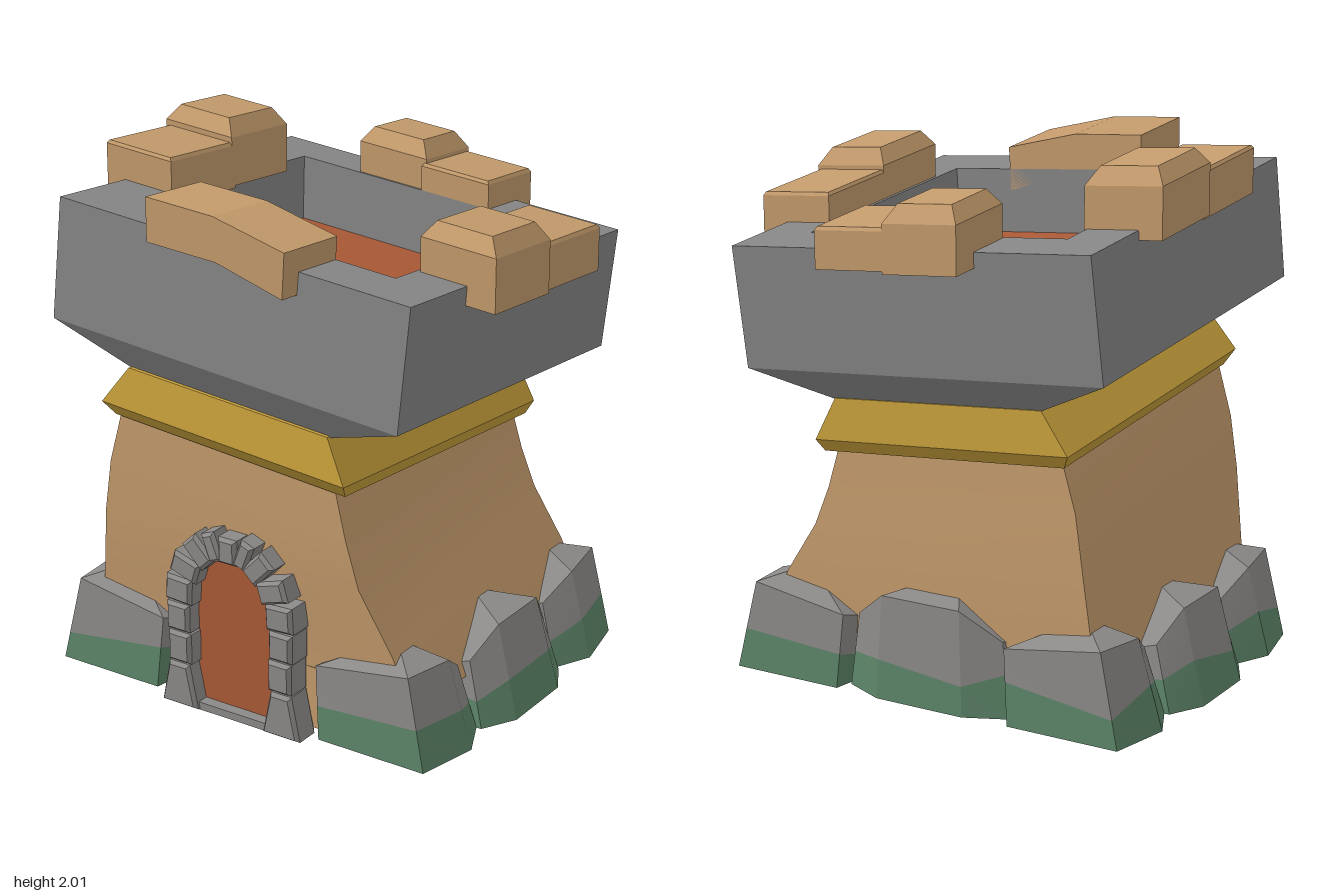
import * as THREE from 'three';
import { toCreasedNormals } from 'three/addons/utils/BufferGeometryUtils.js';

const mat = (name, color) => {
  const m = new THREE.MeshStandardMaterial({ color, side: THREE.DoubleSide });
  m.name = name;
  return m;
};

// Skin between rings of [x, y, z] points, ordered from bottom to top
function loft(rings, closed = true, crease = 0.35) {
  const pos = [];
  const tri = (a, b, c) => {
    const [A, B, C] = [a, b, c].map((p) => new THREE.Vector3(...p));
    if (B.sub(A).cross(C.sub(A)).length() > 1e-7) pos.push(...a, ...b, ...c);
  };
  const n = rings[0].length;
  for (let i = 0; i < rings.length - 1; i++) {
    for (let j = 0; j < (closed ? n : n - 1); j++) {
      const k = (j + 1) % n;
      const a = rings[i][j], b = rings[i][k], c = rings[i + 1][k], d = rings[i + 1][j];
      tri(a, b, c);
      tri(a, c, d);
    }
  }
  const g = new THREE.BufferGeometry();
  g.setAttribute('position', new THREE.Float32BufferAttribute(pos, 3));
  g.computeVertexNormals();
  return toCreasedNormals(g, crease);
}

// The upper tower leans: heights drop toward +x and -z
const lean = (x, z) => -0.085 * x + 0.079 * z;
const rect = (x0, x1, z0, z1, h, tilt = 1) =>
  [[x0, z1], [x1, z1], [x1, z0], [x0, z0]].map(([x, z]) => [x, h + tilt * lean(x, z), z]);
const cap = (ring) => {
  const c = [0, 1, 2].map((k) => ring.reduce((s, p) => s + p[k], 0) / ring.length);
  return ring.map(() => c);
};

export function createModel() {
  const root = new THREE.Group();
  root.name = 'tower';
  const tan = mat('sandstone', 0xc49b6c);
  const grey = mat('wall grey', 0x868686);
  const rockGrey = mat('rock grey', 0x8c8a88);
  const gold = mat('gold', 0xc8a03c);
  const clay = mat('clay', 0xaa5a36);
  const moss = mat('moss', 0x5c8468);
  const add = (name, geo, m, parent = root) => {
    const mesh = new THREE.Mesh(geo, m);
    mesh.name = name;
    parent.add(mesh);
    return mesh;
  };

  // Flared body, open below, and the wall foot around the door
  add('body', loft([
    rect(-0.67, 0.72, -0.58, 0.6, 0.2, 0),
    rect(-0.64, 0.63, -0.58, 0.61, 0.4, 0),
    rect(-0.6, 0.51, -0.57, 0.64, 0.63, 0.4),
    rect(-0.57, 0.455, -0.56, 0.64, 0.8, 0.7),
    rect(-0.5, 0.4, -0.55, 0.64, 1.02, 1),
  ], true, 0.6), tan);
  add('wallFoot', new THREE.BoxGeometry(0.74, 0.24, 0.03), tan).position.set(0, 0.14, 0.59);

  // Gold collar
  add('collar', loft([
    rect(-0.49, 0.4, -0.54, 0.62, 0.97),
    rect(-0.53, 0.46, -0.57, 0.65, 0.965),
    rect(-0.56, 0.48, -0.6, 0.69, 1.015),
    rect(-0.45, 0.4, -0.59, 0.67, 1.17),
    rect(-0.4, 0.36, -0.55, 0.62, 1.18),
  ]), gold);

  // Overhanging head with a hollow top and clay floor
  add('head', loft([
    rect(-0.43, 0.39, -0.58, 0.65, 1.16),
    rect(-0.735, 0.72, -0.67, 0.73, 1.29),
    rect(-0.7, 0.755, -0.7, 0.71, 1.745),
    rect(-0.5, 0.555, -0.5, 0.49, 1.745),
    rect(-0.5, 0.54, -0.49, 0.49, 1.5),
  ]), grey);
  const floor = rect(-0.5, 0.545, -0.495, 0.495, 1.5);
  add('roofFloor', loft([floor, cap(floor)]), clay);

  // Battlements: a plain low block beside a taller bevelled one
  const block = (name, x0, x1, z0, z1, h0, h1, b) => {
    const bottom = rect(x0, x1, z0, z1, h0);
    const top = rect(x0 + b, x1 - b, z0 + b, z1 - b, h1);
    add(name, loft([cap(bottom), bottom, rect(x0, x1, z0, z1, h1 - b * 1.5), top, cap(top)]), tan);
  };
  block('rightMerlonLow', -0.78, -0.49, -0.04, 0.345, 1.7, 1.875, 0.008);
  block('rightMerlonTall', -0.79, -0.49, -0.37, -0.02, 1.71, 1.955, 0.04);
  block('leftMerlonLow', 0.57, 0.86, -0.36, 0.02, 1.685, 1.855, 0.008);
  block('leftMerlonTall', 0.57, 0.865, 0, 0.36, 1.675, 1.93, 0.04);
  block('backMerlonTall', -0.25, 0.045, -0.81, -0.51, 1.69, 1.925, 0.04);
  block('backMerlonLow', 0.03, 0.32, -0.81, -0.5, 1.7, 1.85, 0.008);
  const bent = new THREE.Shape([
    [-0.25, 1.8], [0.04, 1.78], [0.31, 1.7], [0.32, 1.865], [0.03, 1.94], [-0.25, 1.96],
  ].map((p) => new THREE.Vector2(...p)));
  const frontMerlon = new THREE.ExtrudeGeometry(bent, { depth: 0.31, bevelEnabled: false });
  const fp = frontMerlon.attributes.position;
  for (let i = 0; i < fp.count; i++) fp.setY(i, fp.getY(i) + (fp.getZ(i) - 0.31) * 0.079);
  add('frontMerlon', frontMerlon, tan).position.z = 0.49;

  // Rocks: outer shells [x, z, shoulder height] narrowing to a peak, mossy at the foot
  const rock = (name, outline, [cx, cz, peak], sx, map) => {
    const at = (x, y, z) => { const [X, Z] = map(x, z); return [X, y, Z]; };
    const foot = outline.map(([x, z]) => at(x, 0.02, z));
    const shoulder = outline.map(([x, z, h]) =>
      at(cx + (x - cx) * (x < cx ? 1.1 : sx), h, cz + (z - cz) * 0.9));
    const line = foot.map((p, i) => {
      const y = 0.15 + 0.035 * Math.sin(i * 2.1 + p[0] * 3);
      const t = (y - 0.02) / (shoulder[i][1] - 0.02);
      return p.map((v, k) => v + (shoulder[i][k] - v) * t);
    });
    const top = outline.map(() => at(cx, peak, cz));
    const g = new THREE.Group();
    g.name = name;
    add('moss', loft([foot, line], false), moss, g);
    add('stone', loft([line, shoulder, top], false), rockGrey, g);
    root.add(g);
  };
  const corner = [[0.34, 0.55, 0.27], [0.36, 0.67, 0.3], [0.8, 0.67, 0.36],
    [0.85, 0.43, 0.35], [0.78, 0.28, 0.26], [0.6, 0.27, 0.24]].reverse();
  const middle = [[0.6, -0.29, 0.22], [0.8, -0.28, 0.26], [0.87, -0.15, 0.37],
    [0.87, 0.15, 0.37], [0.8, 0.28, 0.26], [0.6, 0.29, 0.22]];
  for (const [side, s] of [['left', 1], ['right', -1]]) {
    rock(side + 'FrontRock', corner, [0.58, 0.5, 0.41], 0.65, (x, z) => [s * x, z]);
    rock(side + 'BackRock', corner, [0.58, 0.5, 0.41], 0.65, (x, z) => [s * x, -z]);
    rock(side + 'MiddleRock', middle, [0.58, 0, 0.41], 0.68, (x, z) => [s * x, z]);
  }
  rock('backMiddleRock', middle.map(([x, z, h]) => [x, z * 1.2, h + 0.04]),
    [0.58, 0, 0.45], 0.95, (x, z) => [z, 0.19 - x]);

  // Arched door
  const arch = new THREE.Shape();
  arch.moveTo(-0.19, 0.02);
  arch.lineTo(0.19, 0.02);
  arch.lineTo(0.18, 0.38);
  arch.quadraticCurveTo(0.16, 0.64, 0, 0.645);
  arch.quadraticCurveTo(-0.16, 0.64, -0.18, 0.38);
  add('door', new THREE.ExtrudeGeometry(arch, { depth: 0.085, bevelEnabled: false }), clay)
    .position.z = 0.565;
  add('doorStep', new THREE.BoxGeometry(0.55, 0.03, 0.09), rockGrey).position.set(-0.01, 0.015, 0.65);

  // Bevelled stones around the door
  const stone = (name, pts, x, y, turn) => {
    const shape = new THREE.Shape(pts.map((p) => new THREE.Vector2(...p)));
    const geo = new THREE.ExtrudeGeometry(shape, {
      depth: 0.09, bevelThickness: 0.015, bevelSize: 0.012, bevelOffset: -0.012, bevelSegments: 1,
    });
    const m = add(name, geo, rockGrey);
    m.position.set(x, y, 0.615);
    m.rotation.z = turn;
  };
  const box = (w, h) => [[-w / 2, -h / 2], [w / 2, -h / 2], [w / 2, h / 2], [-w / 2, h / 2]];
  const sideStones = [
    [0.22, 0.24, 0.1, 0.12, 0], [0.225, 0.36, 0.1, 0.11, 0], [0.22, 0.47, 0.115, 0.1, 0.05],
    [0.19, 0.565, 0.12, 0.085, 0.3], [0.13, 0.64, 0.12, 0.08, 0.8], [0.068, 0.675, 0.11, 0.06, 1.2],
  ];
  for (const s of [1, -1]) {
    stone('doorFootStone', [[-0.08, -0.085], [0.08, -0.085], [0.045, 0.085], [-0.045, 0.085]],
      s * 0.225, 0.09, 0);
    for (const [x, y, w, h, turn] of sideStones) stone('doorStone', box(w, h), s * x, y, s * turn);
  }
  stone('doorKeystone', box(0.08, 0.1), 0, 0.675, 0);

  return root;
}
